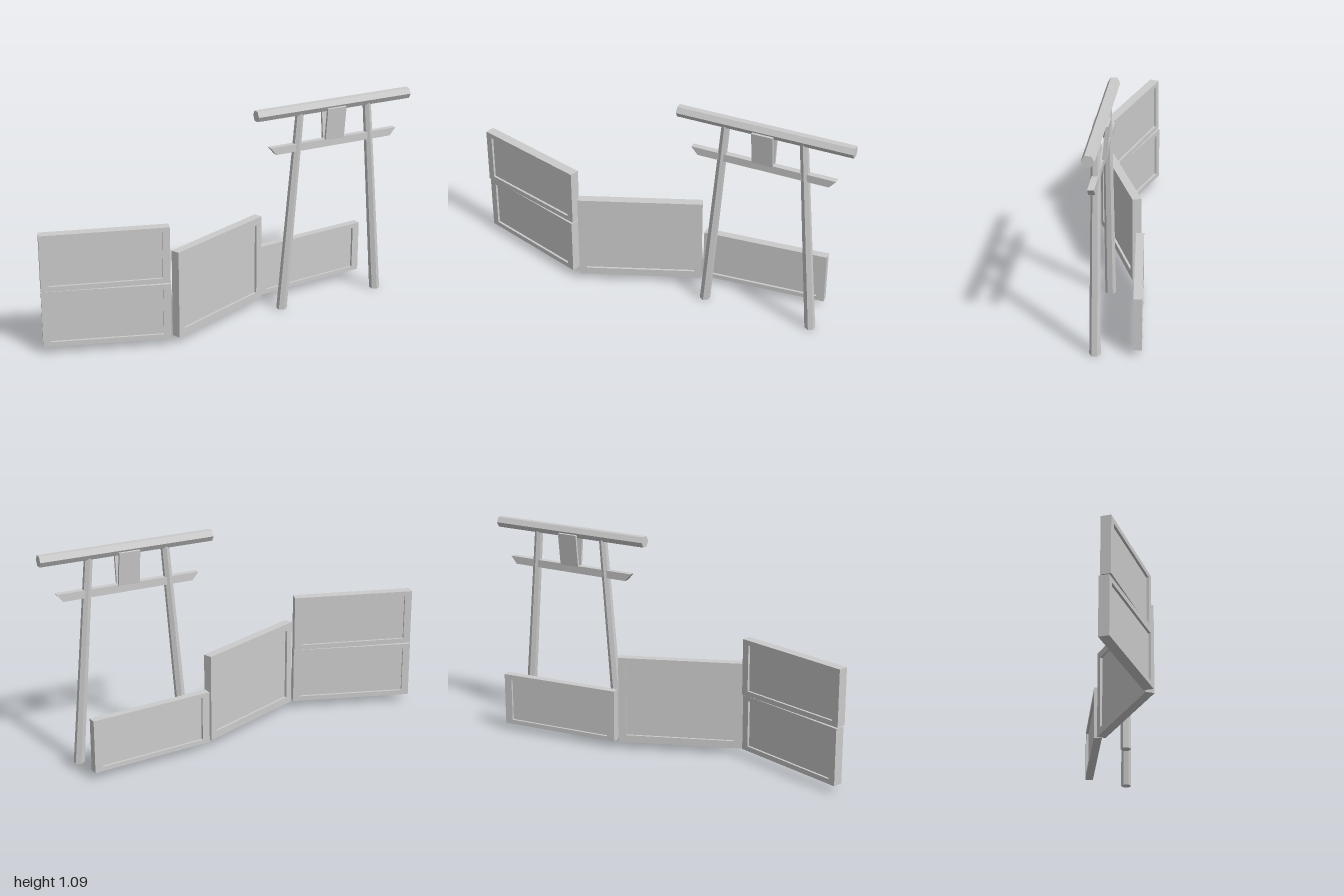
import * as THREE from 'three';

const material = new THREE.MeshStandardMaterial({ color: 0xcccccc, flatShading: true, side: THREE.DoubleSide });

function addMesh(parent, name, geometry) {
  const mesh = new THREE.Mesh(geometry, material);
  mesh.name = name;
  parent.add(mesh);
  return mesh;
}

function rectangle(w, h, PathType) {
  return new PathType([
    new THREE.Vector2(-w / 2, -h / 2), new THREE.Vector2(w / 2, -h / 2),
    new THREE.Vector2(w / 2, h / 2), new THREE.Vector2(-w / 2, h / 2),
  ]);
}

// Extrude a shape, centred on z
function slab(shape, depth) {
  return new THREE.ExtrudeGeometry(shape, { depth, bevelEnabled: false }).translate(0, 0, -depth / 2);
}

// Frame with a board recessed on both faces
function makePanel({ name, x, z, y0, y1, length, thick, turn, borderX, borderY }) {
  const group = new THREE.Group();
  group.name = name;
  group.position.set(x, (y0 + y1) / 2, z);
  group.rotation.y = turn;
  const height = y1 - y0;
  const innerW = length - 2 * borderX, innerH = height - 2 * borderY;
  const outline = rectangle(length, height, THREE.Shape);
  outline.holes.push(rectangle(innerW, innerH, THREE.Path));
  addMesh(group, name + 'Frame', slab(outline, thick));
  addMesh(group, name + 'Board', new THREE.BoxGeometry(innerW, innerH, thick - 0.024));
  return group;
}

function makeGate() {
  const gate = new THREE.Group();
  gate.name = 'gate';
  gate.position.set(0.555, 0, 0.096);
  gate.rotation.y = -0.1;

  // Hexagonal top beam, flat side up
  const beam = addMesh(gate, 'topBeam',
    new THREE.CylinderGeometry(0.03, 0.03, 0.883, 6).rotateZ(Math.PI / 2));
  beam.position.y = 1.06;

  // Tie beam with slanted ends
  const tie = new THREE.Shape([
    new THREE.Vector2(-0.333, 0.848), new THREE.Vector2(0.333, 0.848),
    new THREE.Vector2(0.366, 0.887), new THREE.Vector2(-0.366, 0.887),
  ]);
  addMesh(gate, 'tieBeam', slab(tie, 0.03));

  // Tapered legs leaning inwards
  for (const side of [-1, 1]) {
    const foot = 0.284, head = 0.195, top = 1.05;
    const leg = new THREE.CylinderGeometry(0.021, 0.027, top, 6).translate(0, top / 2, 0);
    const p = leg.attributes.position;
    for (let i = 0; i < p.count; i++) {
      p.setX(i, p.getX(i) + side * THREE.MathUtils.lerp(foot, head, p.getY(i) / top));
    }
    leg.computeVertexNormals();
    addMesh(gate, side < 0 ? 'rightLeg' : 'leftLeg', leg);
  }

  // Two boards spreading apart towards the top beam
  for (const side of [-1, 1]) {
    const board = addMesh(gate, side < 0 ? 'backCentreBoard' : 'frontCentreBoard',
      new THREE.BoxGeometry(0.107, 0.168, 0.012));
    board.position.set(0, 0.967, side * 0.022);
    board.rotation.x = side * 0.11;
  }
  return gate;
}

export function createModel() {
  const model = new THREE.Group();
  model.name = 'gateAndPanels';
  const panels = [
    { name: 'lowerRightPanel', x: -0.702, z: -0.022, y0: 0.038, y1: 0.328, length: 0.624, thick: 0.05, turn: -0.42, borderX: 0.037, borderY: 0.025 },
    { name: 'upperRightPanel', x: -0.702, z: -0.022, y0: 0.332, y1: 0.62, length: 0.624, thick: 0.05, turn: -0.395, borderX: 0.037, borderY: 0.025 },
    { name: 'middlePanel', x: -0.092, z: 0.027, y0: 0.034, y1: 0.485, length: 0.628, thick: 0.045, turn: 0.284, borderX: 0.038, borderY: 0.038 },
    { name: 'leftPanel', x: 0.541, z: -0.075, y0: 0.036, y1: 0.307, length: 0.638, thick: 0.04, turn: -0.006, borderX: 0.04, borderY: 0.023 },
  ];
  for (const spec of panels) model.add(makePanel(spec));
  model.add(makeGate());
  return model;
}
